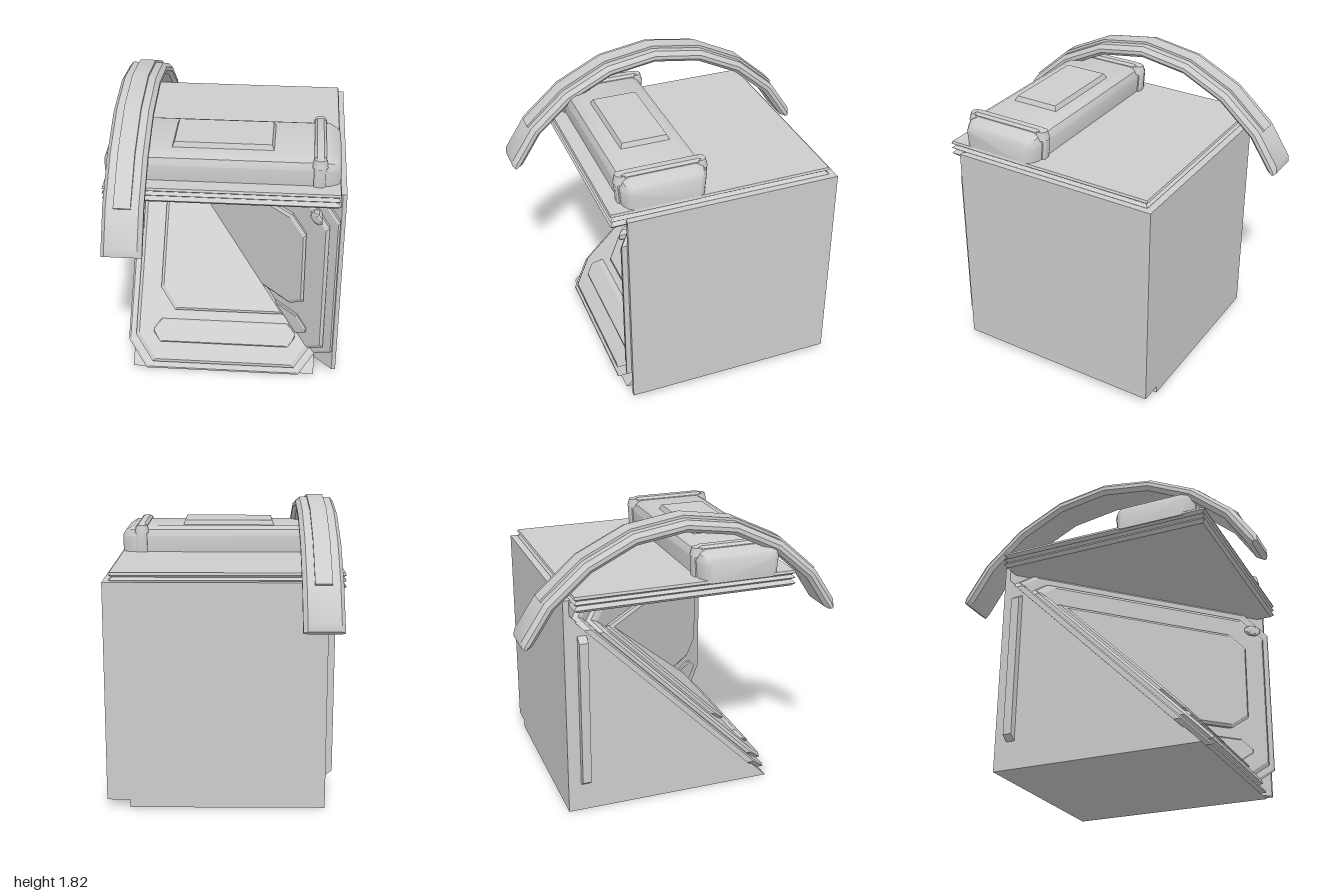
import * as THREE from 'three';
import { toCreasedNormals } from 'three/addons/utils/BufferGeometryUtils.js';
import { ConvexGeometry } from 'three/addons/geometries/ConvexGeometry.js';

const FOLD = 0.685; // the front panel folds along x + y = FOLD

// Skin through closed rings of points, with end caps; smooth only across shallow angles
function loft(rings) {
  const n = rings[0].length, tris = [];
  for (let r = 0; r < rings.length - 1; r++) {
    for (let i = 0; i < n; i++) {
      const j = (i + 1) % n, a = rings[r], b = rings[r + 1];
      tris.push([a[i], a[j], b[j]], [a[i], b[j], b[i]]);
    }
  }
  const first = rings[0], last = rings[rings.length - 1];
  for (let i = 1; i < n - 1; i++) {
    tris.push([first[0], first[i + 1], first[i]], [last[0], last[i], last[i + 1]]);
  }
  // turn the faces outward if the rings ran the other way
  let volume = 0;
  const v = p => new THREE.Vector3(...p);
  for (const [a, b, c] of tris) volume += v(a).dot(v(b).cross(v(c)));
  if (volume < 0) tris.forEach(t => t.reverse());
  const geo = new THREE.BufferGeometry();
  geo.setAttribute('position', new THREE.Float32BufferAttribute(tris.flat(2), 3));
  return toCreasedNormals(geo, 0.55);
}

// Rectangle with cut corners; the lower right cut (d) may differ
function octagon([x0, x1, y0, y1, c, d = c]) {
  return [[x0 + c, y0], [x1 - d, y0], [x1, y0 + d], [x1, y1 - c],
    [x1 - c, y1], [x0 + c, y1], [x0, y1 - c], [x0, y0 + c]];
}

// Keep the part of a convex outline on one side of the fold
function clip(points, side) {
  const out = [], d = p => side * (p[0] + p[1] - FOLD);
  points.forEach((p, i) => {
    const q = points[(i + 1) % points.length], a = d(p), b = d(q);
    if (a >= 0) out.push(p);
    if (a * b < 0) {
      const t = a / (a - b);
      out.push([p[0] + (q[0] - p[0]) * t, p[1] + (q[1] - p[1]) * t]);
    }
  });
  return out;
}

// Bevelled plate on one half of the folded front
function halfPlate(rect, side, height, bevel) {
  const [x0, x1, y0, y1, ...cuts] = rect;
  const top = [x0 + bevel, x1 - bevel, y0 + bevel, y1 - bevel, ...cuts];
  const points = [];
  for (const [r, h] of [[rect, -0.01], [rect, height - bevel], [top, height]]) {
    for (const [x, y] of clip(octagon(r), side)) {
      const base = side < 0 ? 0.6 - y : x + 0.6 - FOLD;
      points.push(new THREE.Vector3(x, y, base + h));
    }
  }
  return new ConvexGeometry(points);
}

// Tapered box from a bottom and a top rectangle
function frustum(x0, x1, z0, z1, y0, y1, inset) {
  const ring = (y, s) => [[x0 + s, y, z0 + s], [x1 - s, y, z0 + s], [x1 - s, y, z1 - s], [x0 + s, y, z1 - s]];
  return loft([ring(y0, 0), ring(y1, inset)]);
}

// Arched bar along z: outline points are [x, height above the centre line]
function arch(path, outline, endScale = 1) {
  return loft(path.map(([z, y], i) => {
    const a = path[Math.max(i - 1, 0)], b = path[Math.min(i + 1, path.length - 1)];
    const len = Math.hypot(b[0] - a[0], b[1] - a[1]);
    const nz = (b[1] - a[1]) / len, ny = -(b[0] - a[0]) / len;
    const s = i === 0 || i === path.length - 1 ? endScale : 1;
    return outline.map(([x, h]) => [x, y + ny * h * s, z + nz * h * s]);
  }));
}

export function createModel() {
  const model = new THREE.Group();
  model.name = 'container';
  const grey = new THREE.MeshStandardMaterial({ color: 0xcccccc });
  grey.name = 'grey';
  const add = (name, geo, parent = model) => {
    const mesh = new THREE.Mesh(geo, grey);
    mesh.name = name;
    parent.add(mesh);
    return mesh;
  };

  // Body: a sloping wedge and an upright corner wedge meeting at the fold
  const slope = [[0, 0.6], [0, -0.73], [1.33, -0.73]];
  add('slopedBody', loft([-0.61, 0.57].map(x => slope.map(([y, z]) => [x, y, z]))));
  const corner = [[0.71, 0.6], [0.685, 0.6], [-0.61, -0.695], [-0.61, -0.73], [0.71, -0.73]];
  add('cornerBody', loft([0.05, 1.39].map(y => corner.map(([x, z]) => [x, y, z]))));

  // Stepped plates on the folded front; side -1 is the slope, +1 the upright half
  const front = new THREE.Group();
  front.name = 'frontPanel';
  model.add(front);
  const outer = [-0.65, 0.68, 0.01, 1.34, 0.13, 0.21];
  const middle = [-0.6, 0.62, 0.06, 1.28, 0.12, 0.18];
  for (const side of [-1, 1]) {
    add('outerFrame', halfPlate(outer, side, 0.048, 0.012), front);
    add('middleFrame', halfPlate(middle, side, 0.1, 0.022), front);
  }
  add('lowerInset', halfPlate([-0.45, 0.6, 0.325, 1.3, 0.1], -1, 0.145, 0.018), front);
  add('upperInset', halfPlate([-0.6, 0.485, 0.455, 1.13, 0.085], 1, 0.145, 0.018), front);
  add('lowerSlot', halfPlate([-0.48, 0.44, 0.17, 0.27, 0.045], -1, 0.125, 0.008), front);
  add('upperSlot', halfPlate([0.25, 0.51, 0.24, 0.385, 0.06], 1, 0.125, 0.008), front);
  add('knob', halfPlate([0.505, 0.575, 1.165, 1.235, 0.02], 1, 0.13, 0.01), front);

  // Upright rib on the left wall
  add('sideRib', loft([[-0.6, 0.17, 1.17], [-0.655, 0.21, 1.13]].map(([x, y0, y1]) =>
    [[x, y0, -0.65], [x, y0, -0.595], [x, y1, -0.595], [x, y1, -0.65]])));

  // Lid with ridged edges
  const lid = new THREE.Group();
  lid.name = 'lid';
  model.add(lid);
  const lidRing = (y, s) => [[-0.71 + s, y, -0.69 + s], [0.675 - s, y, -0.69 + s],
    [0.675 - s, y, 0.69 - s], [-0.71 + s, y, 0.69 - s]];
  add('ridgedLid', loft([[1.34, 0.02], [1.36, 0], [1.38, 0.02], [1.395, 0], [1.41, 0.02],
    [1.425, 0], [1.44, 0.005]].map(([y, s]) => lidRing(y, s))), lid);

  // Long case on the lid, with chamfered edges and tapered ends
  const caseRing = (x, w, h, c) => [[x, 1.42, 0.34 - w + 0.01], [x, 1.42, 0.34 + w - 0.01],
    [x, h - c, 0.34 + w], [x, h - c / 3, 0.34 + w - c / 3], [x, h, 0.34 + w - c],
    [x, h, 0.34 - w + c], [x, h - c / 3, 0.34 - w + c / 3], [x, h - c, 0.34 - w]];
  add('case', loft([
    caseRing(-0.71, 0.21, 1.55, 0.02), caseRing(-0.695, 0.235, 1.575, 0.04),
    caseRing(-0.645, 0.262, 1.605, 0.06), caseRing(0.605, 0.262, 1.605, 0.06),
    caseRing(0.655, 0.235, 1.575, 0.04), caseRing(0.67, 0.21, 1.55, 0.02)]), lid);
  add('caseLabel', frustum(-0.32, 0.28, 0.18, 0.49, 1.6, 1.635, 0.015), lid);

  // Straps around the case, with thicker rounded corners
  for (const x of [0.545, -0.585]) {
    add('strap', loft([caseRing(x - 0.035, 0.27, 1.61, 0.055), caseRing(x - 0.02, 0.28, 1.625, 0.055),
      caseRing(x + 0.02, 0.28, 1.625, 0.055), caseRing(x + 0.035, 0.27, 1.61, 0.055)]), lid);
    for (const z of [0.1, 0.58]) {
      const boss = add('strapCorner', new THREE.CylinderGeometry(0.035, 0.048, 0.05, 12), lid);
      boss.position.set(x, 1.59, z);
    }
  }

  // Arched handle running front to back, thinner at its tips
  const half = [[0.975, 1.15], [0.955, 1.18], [0.82, 1.385], [0.59, 1.585], [0.31, 1.722]];
  const path = [...half, [0, 1.77], ...half.map(([z, y]) => [-z, y]).reverse()];
  add('handle', arch(path, [[-0.66, -0.035], [-0.47, -0.035], [-0.445, -0.012], [-0.445, 0.012],
    [-0.47, 0.038], [-0.66, 0.038], [-0.682, 0.012], [-0.682, -0.012]], 0.5));

  // Raised strip along the top of the handle
  const stripHalf = [[0.83, 1.37], ...half.slice(3)];
  const stripPath = [...stripHalf, [0, 1.77], ...stripHalf.map(([z, y]) => [-z, y]).reverse()];
  add('handleStrip', arch(stripPath, [[-0.615, 0.03], [-0.515, 0.03], [-0.515, 0.054], [-0.615, 0.054]]));

  return model;
}
